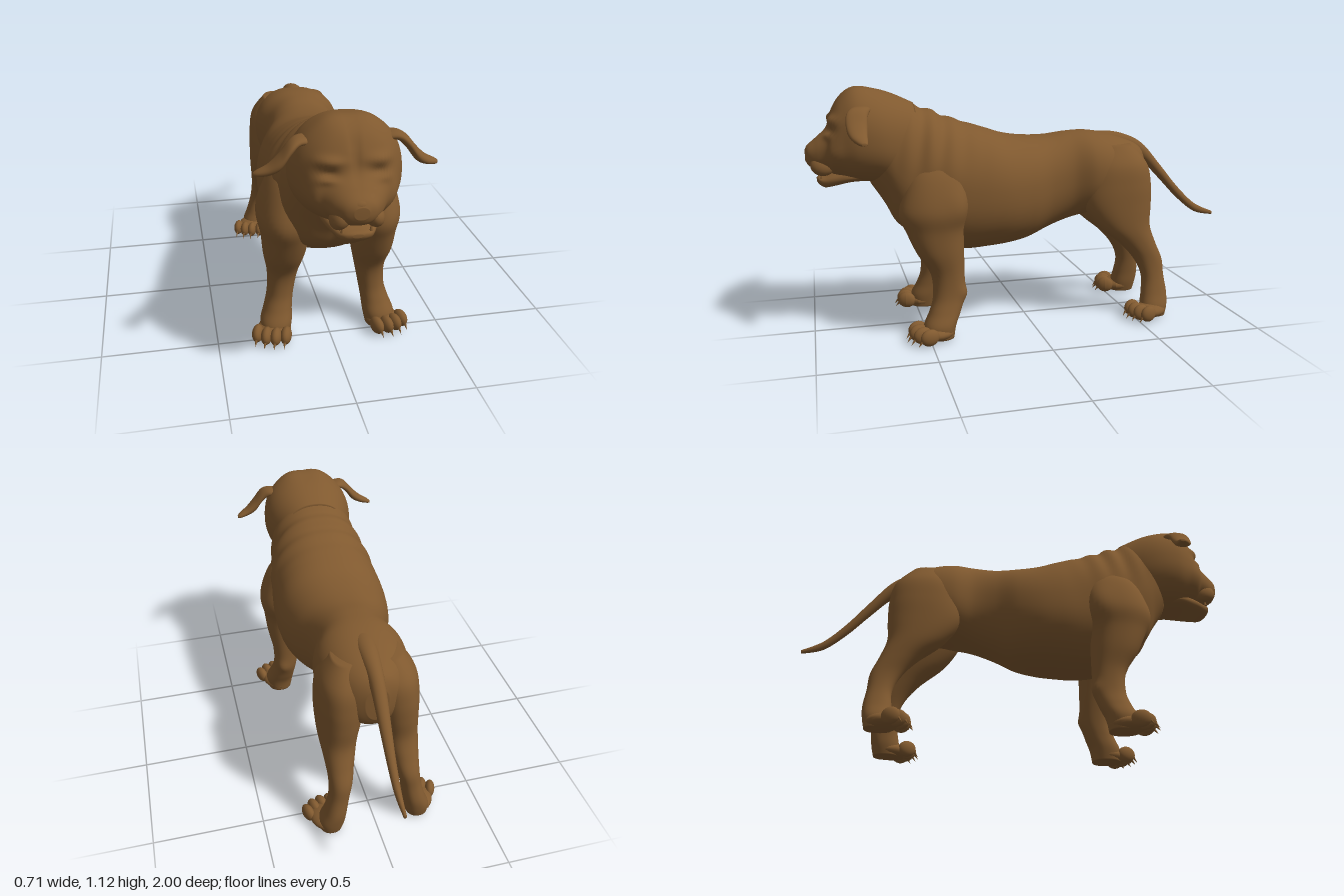
import * as THREE from 'three';
import { mergeGeometries } from 'three/addons/utils/BufferGeometryUtils.js';

const coat = new THREE.MeshStandardMaterial({ color: 0x80592f });
coat.name = 'brown coat';

// Catmull-Rom blend of one column of a section table
function blend(rows, k, t) {
  const i = Math.min(Math.floor(t), rows.length - 2), f = t - i;
  const at = (n) => rows[Math.max(0, Math.min(rows.length - 1, n))][k];
  const [a, b, c, d] = [at(i - 1), at(i), at(i + 1), at(i + 2)];
  return b + 0.5 * f * (c - a + f * (2 * a - 5 * b + 4 * c - d + f * (3 * (b - c) + d - a)));
}

// Smooth skin over rings: each row is [along axis, a, b, half a, half b (plus), half b (minus)].
// Rings lie in xy for axis z, in xz for axis y (listed downward) and in yz for axis x.
function loft(axis, rows, { seg = 40, sub = 6, power = 0.9 } = {}) {
  const pos = [], index = [], n = (rows.length - 1) * sub;
  const put = (s, a, b) => pos.push(...(axis === 'z' ? [a, b, s] : axis === 'y' ? [a, s, b] : [s, a, b]));
  const soft = (v) => Math.sign(v) * Math.abs(v) ** power;
  for (let i = 0; i <= n; i++) {
    const [s, a, b, ra, up, down] = [0, 1, 2, 3, 4, 5].map((k) => blend(rows, k, i / sub));
    for (let j = 0; j < seg; j++) {
      const q = (j / seg) * Math.PI * 2, v = soft(Math.sin(q));
      put(s, a + ra * soft(Math.cos(q)), b + v * (v > 0 ? up : down));
    }
  }
  for (let i = 0; i < n; i++) {
    for (let j = 0; j < seg; j++) {
      const a = i * seg + j, b = i * seg + ((j + 1) % seg);
      index.push(a, b, a + seg, b, b + seg, a + seg);
    }
  }
  // end caps
  const first = rows[0], last = rows[rows.length - 1], c0 = pos.length / 3;
  put(first[0], first[1], first[2]);
  put(last[0], last[1], last[2]);
  for (let j = 0; j < seg; j++) {
    const k = (j + 1) % seg;
    index.push(c0, k, j, c0 + 1, n * seg + j, n * seg + k);
  }
  const g = new THREE.BufferGeometry();
  g.setAttribute('position', new THREE.Float32BufferAttribute(pos, 3));
  g.setIndex(index);
  g.computeVertexNormals();
  return g;
}

// Push the skin along its normals; bumps [x, y, z, rx, ry, rz, height] act on both sides of x = 0
function sculpt(g, bumps, extra = () => 0) {
  const p = g.attributes.position, nor = g.attributes.normal;
  for (let i = 0; i < p.count; i++) {
    const x = Math.abs(p.getX(i)), y = p.getY(i), z = p.getZ(i);
    let d = extra(x, y, z);
    for (const [bx, by, bz, rx, ry, rz, h] of bumps) {
      d += h * Math.exp(-(((x - bx) / rx) ** 2) - ((y - by) / ry) ** 2 - ((z - bz) / rz) ** 2);
    }
    p.setXYZ(i, p.getX(i) + nor.getX(i) * d, y + nor.getY(i) * d, z + nor.getZ(i) * d);
  }
  g.computeVertexNormals();
  return g;
}

function ball(x, y, z, rx, ry, rz) {
  return new THREE.SphereGeometry(1, 20, 14).scale(rx, ry, rz).translate(x, y, z);
}

function mirrored(g) {
  const m = g.clone().scale(-1, 1, 1), ix = m.index;
  for (let i = 0; i < ix.count; i += 3) {
    const a = ix.getX(i);
    ix.setX(i, ix.getX(i + 1));
    ix.setX(i + 1, a);
  }
  m.computeVertexNormals();
  return m;
}

// Pad, four toes and claws, pointing along +z before being turned outward
function paw(x, z, turn, size) {
  const parts = [ball(0, 0.04, -0.01, 0.075, 0.036, 0.09)];
  for (let i = 0; i < 4; i++) {
    const s = i - 1.5, tx = s * 0.042, tz = 0.072 - Math.abs(s) * 0.014;
    parts.push(ball(tx, 0.046, tz, 0.025, 0.038, 0.044));
    parts.push(new THREE.ConeGeometry(0.009, 0.042, 8).rotateX(2.45).translate(tx, 0.027, tz + 0.044));
  }
  return mergeGeometries(parts).scale(size, 1, size).rotateY(turn).translate(x, 0, z);
}

export function createModel() {
  const model = new THREE.Group();
  const add = (name, g) => {
    const m = new THREE.Mesh(g, coat);
    m.name = name;
    model.add(m);
  };
  const pair = (name, g) => {
    add('left' + name, g);
    add('right' + name, mirrored(g));
  };

  // Torso with rump, tucked belly, deep chest and folded neck
  const torso = loft('z', [
    [-0.6, 0, 0.7, 0.05, 0.07, 0.09], [-0.57, 0, 0.7, 0.11, 0.12, 0.14],
    [-0.5, 0, 0.7, 0.165, 0.155, 0.17], [-0.4, 0, 0.7, 0.2, 0.185, 0.19],
    [-0.3, 0, 0.7, 0.205, 0.2, 0.2], [-0.2, 0, 0.69, 0.175, 0.207, 0.215],
    [-0.1, 0, 0.68, 0.19, 0.205, 0.24], [0, 0, 0.65, 0.235, 0.235, 0.25],
    [0.1, 0, 0.63, 0.262, 0.268, 0.25], [0.2, 0, 0.63, 0.27, 0.3, 0.26],
    [0.3, 0, 0.63, 0.265, 0.33, 0.265], [0.4, 0, 0.65, 0.255, 0.345, 0.27],
    [0.5, 0, 0.68, 0.235, 0.355, 0.24], [0.6, 0, 0.75, 0.215, 0.31, 0.24],
    [0.66, 0, 0.82, 0.19, 0.25, 0.22], [0.72, 0, 0.85, 0.14, 0.2, 0.16],
  ], { seg: 56, sub: 8 });
  add('torso', sculpt(torso, [
    [0.11, 0.56, 0.56, 0.07, 0.1, 0.09, 0.022], [0, 0.58, 0.6, 0.025, 0.12, 0.1, -0.012],
    [0.2, 0.75, 0.4, 0.1, 0.1, 0.1, 0.012],
  ], (x, y, z) => {
    const zone = Math.exp(-(((z - 0.47) / 0.15) ** 2)) * THREE.MathUtils.smoothstep(y, 0.65, 0.9);
    return 0.007 * zone * Math.sin(z * 62 + y * 12);
  }));

  // Head narrowing into a short muzzle, with brows, sunken eyes and cheeks
  const head = loft('z', [
    [0.52, 0, 0.88, 0.16, 0.17, 0.18], [0.62, 0, 0.88, 0.205, 0.215, 0.19],
    [0.7, 0, 0.89, 0.22, 0.225, 0.19], [0.78, 0, 0.89, 0.21, 0.23, 0.18],
    [0.84, 0, 0.88, 0.178, 0.205, 0.155], [0.88, 0, 0.86, 0.148, 0.165, 0.12],
    [0.905, 0, 0.845, 0.12, 0.105, 0.09], [0.95, 0, 0.83, 0.092, 0.075, 0.068],
    [0.985, 0, 0.83, 0.06, 0.045, 0.05], [1, 0, 0.83, 0.028, 0.022, 0.025],
  ], { seg: 64, sub: 9 });
  add('head', sculpt(head, [
    [0.09, 0.985, 0.87, 0.05, 0.018, 0.06, 0.016], [0.095, 0.945, 0.87, 0.04, 0.016, 0.06, -0.016],
    [0.1, 0.92, 0.88, 0.035, 0.012, 0.05, 0.01], [0.13, 0.85, 0.86, 0.05, 0.05, 0.06, 0.012],
    [0, 1.02, 0.87, 0.014, 0.08, 0.08, -0.01], [0.07, 1.1, 0.76, 0.05, 0.05, 0.08, 0.008],
  ]));
  add('nose', ball(0, 0.852, 0.972, 0.042, 0.026, 0.026));
  pair('UpperLip', ball(0, 0, 0, 0.038, 0.05, 0.055).rotateZ(0.5).translate(0.062, 0.79, 0.925));
  add('lowerJaw', loft('z', [
    [0.7, 0, 0.74, 0.1, 0.05, 0.035], [0.8, 0, 0.735, 0.112, 0.05, 0.03],
    [0.87, 0, 0.725, 0.095, 0.035, 0.035], [0.92, 0, 0.715, 0.072, 0.024, 0.033],
    [0.945, 0, 0.717, 0.05, 0.016, 0.02], [0.955, 0, 0.719, 0.02, 0.007, 0.008],
  ]));
  // Small lower fangs
  pair('Fang', new THREE.ConeGeometry(0.008, 0.035, 8).translate(0.055, 0.745, 0.932));

  // Thin folded ears sweeping out and down
  pair('Ear', loft('x', [
    [0.12, 1.025, 0.75, 0.02, 0.045, 0.045], [0.18, 1.035, 0.76, 0.017, 0.048, 0.04],
    [0.22, 1.012, 0.775, 0.025, 0.05, 0.04], [0.26, 0.962, 0.78, 0.028, 0.046, 0.04],
    [0.3, 0.932, 0.775, 0.019, 0.036, 0.032], [0.34, 0.916, 0.765, 0.012, 0.022, 0.02],
    [0.355, 0.911, 0.76, 0.006, 0.01, 0.01],
  ], { seg: 28 }));

  // Front legs from shoulder blade to wrist
  const frontLeg = loft('y', [
    [0.84, 0.14, 0.42, 0.05, 0.07, 0.07], [0.74, 0.165, 0.43, 0.1, 0.14, 0.13],
    [0.6, 0.19, 0.44, 0.118, 0.165, 0.13], [0.5, 0.19, 0.45, 0.104, 0.135, 0.12],
    [0.4, 0.195, 0.44, 0.089, 0.105, 0.108], [0.3, 0.198, 0.407, 0.068, 0.078, 0.075],
    [0.2, 0.208, 0.405, 0.058, 0.072, 0.072], [0.13, 0.222, 0.425, 0.062, 0.072, 0.07],
    [0.07, 0.235, 0.45, 0.07, 0.075, 0.07], [0.012, 0.237, 0.455, 0.06, 0.07, 0.065],
  ]);
  pair('FrontLeg', sculpt(frontLeg, [
    [0.27, 0.62, 0.36, 0.08, 0.07, 0.05, 0.012], [0.2, 0.57, 0.6, 0.07, 0.07, 0.06, 0.012],
    [0.24, 0.21, 0.33, 0.04, 0.03, 0.03, 0.012],
  ]));
  pair('FrontPaw', paw(0.25, 0.483, 0.32, 1));

  // Hind legs with broad thigh and angled hock
  const hindLeg = loft('y', [
    [0.84, 0.09, -0.42, 0.06, 0.08, 0.08], [0.75, 0.11, -0.43, 0.1, 0.15, 0.145],
    [0.65, 0.122, -0.43, 0.104, 0.175, 0.165], [0.55, 0.13, -0.43, 0.098, 0.165, 0.165],
    [0.45, 0.14, -0.46, 0.084, 0.125, 0.13], [0.36, 0.148, -0.53, 0.065, 0.085, 0.09],
    [0.28, 0.155, -0.585, 0.052, 0.07, 0.068], [0.2, 0.168, -0.605, 0.046, 0.055, 0.055],
    [0.12, 0.185, -0.61, 0.05, 0.065, 0.06], [0.06, 0.2, -0.605, 0.058, 0.07, 0.06],
    [0.012, 0.205, -0.6, 0.05, 0.065, 0.055],
  ]);
  pair('HindLeg', hindLeg);
  pair('HindPaw', paw(0.222, -0.562, 0.34, 0.95));

  // Tapering tail, tip to root
  add('tail', loft('z', [
    [-1, 0, 0.45, 0.007, 0.009, 0.009], [-0.9, 0, 0.485, 0.015, 0.021, 0.021],
    [-0.8, 0, 0.57, 0.02, 0.029, 0.029], [-0.7, 0, 0.68, 0.026, 0.036, 0.036],
    [-0.6, 0, 0.785, 0.032, 0.042, 0.045], [-0.5, 0, 0.838, 0.04, 0.038, 0.05],
    [-0.4, 0, 0.86, 0.045, 0.033, 0.04], [-0.28, 0, 0.865, 0.035, 0.02, 0.03],
  ], { seg: 24, power: 1 }));

  return model;
}
